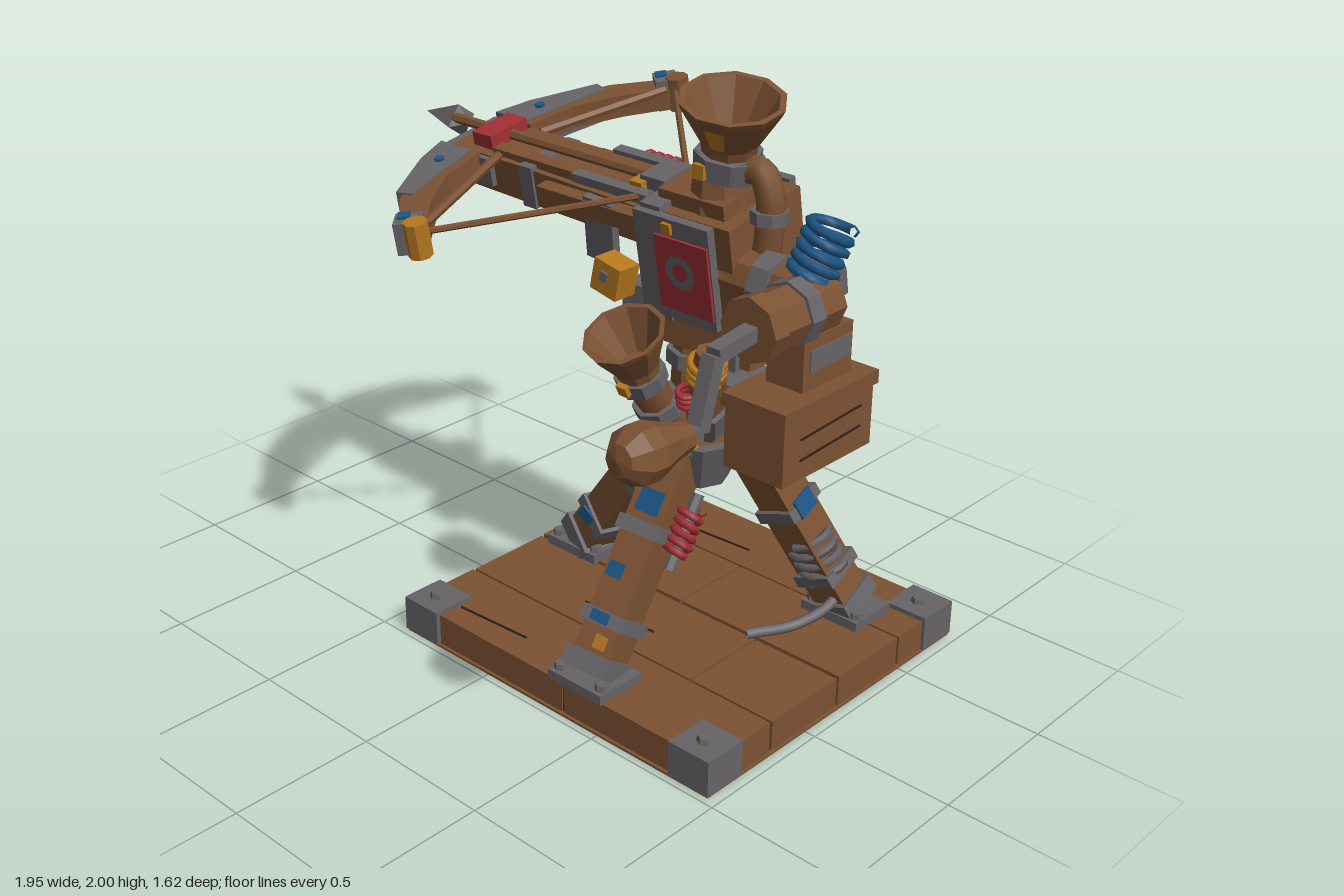
import * as THREE from 'three';

const mat = (name, color) => Object.assign(new THREE.MeshStandardMaterial({ color }), { name });
const wood = mat('wood', 0x7c5233), metal = mat('metal', 0x676467), blue = mat('blue paint', 0x1c5685);
const red = mat('red paint', 0xa33036), brass = mat('brass', 0xb5781f), dark = mat('dark gaps', 0x2e2018);

const V = (x, y, z) => new THREE.Vector3(x, y, z);

// Gives every face its own normal
function flat(geo) {
  const g = geo.index ? geo.toNonIndexed() : geo;
  g.computeVertexNormals();
  return g;
}

function add(parent, name, geo, material, pos = [0, 0, 0], rot = [0, 0, 0], facet = true) {
  const m = new THREE.Mesh(facet ? flat(geo) : geo, material);
  m.name = name;
  m.position.set(...pos);
  m.rotation.set(...rot);
  parent.add(m);
  return m;
}

const box = (p, name, m, size, pos, rot) => add(p, name, new THREE.BoxGeometry(...size), m, pos, rot);
const cyl = (p, name, m, r1, r2, h, pos, rot, n = 8) => add(p, name, new THREE.CylinderGeometry(r1, r2, h, n), m, pos, rot);

// Box or round bar running between two points
function beam(p, name, m, a, b, w, d, round = false) {
  const len = a.distanceTo(b);
  const geo = round ? new THREE.CylinderGeometry(w, d, len, 6) : new THREE.BoxGeometry(w, len, d);
  const mesh = add(p, name, geo, m, a.clone().lerp(b, 0.5).toArray());
  mesh.quaternion.setFromUnitVectors(V(0, 1, 0), b.clone().sub(a).normalize());
  return mesh;
}

// Helical wire between two points
function coil(p, name, m, a, b, r, turns, wire) {
  const len = a.distanceTo(b), pts = [];
  for (let i = 0; i <= turns * 10; i++) {
    const t = i / 10 * Math.PI * 2;
    pts.push(V(Math.cos(t) * r, (i / (turns * 10) - 0.5) * len, Math.sin(t) * r));
  }
  const geo = new THREE.TubeGeometry(new THREE.CatmullRomCurve3(pts), turns * 14, wire, 5);
  const mesh = add(p, name, geo, m, a.clone().lerp(b, 0.5).toArray(), [0, 0, 0], false);
  mesh.quaternion.setFromUnitVectors(V(0, 1, 0), b.clone().sub(a).normalize());
}

const pipe = (p, name, m, pts, r) =>
  add(p, name, new THREE.TubeGeometry(new THREE.CatmullRomCurve3(pts), 20, r, 8), m, [0, 0, 0], [0, 0, 0], false);

const lathe = (pts, n = 10, start = 0, len = Math.PI * 2) =>
  new THREE.LatheGeometry(pts.map(q => new THREE.Vector2(...q)), n, start, len);

// Thick-walled funnel, base at its origin, opening along +y; patches are facet numbers
function funnel(p, name, r, h, pos, rot, patches = []) {
  const g = new THREE.Group();
  g.name = name;
  g.position.set(...pos);
  g.rotation.set(...rot);
  p.add(g);
  add(g, 'funnelCone', lathe([[0, 0], [r * 0.5, 0], [r * 0.55, h * 0.3], [r * 0.95, h * 0.9], [r, h],
    [r * 0.88, h], [r * 0.4, h * 0.3], [0, h * 0.28]]), wood);
  cyl(g, 'funnelBand', metal, r * 0.62, r * 0.6, h * 0.28, [0, 0, 0]);
  for (const k of patches)
    add(g, 'funnelPatch', lathe([[r * 0.63, h * 0.38], [r * 0.775, h * 0.6], [r * 0.905, h * 0.8]], 1, k * Math.PI / 5 + 0.1, 0.43), brass);
}

function buildBase(root) {
  const g = new THREE.Group();
  g.name = 'base';
  root.add(g);
  box(g, 'underside', wood, [1.36, 0.008, 1.27], [0.282, 0.004, -0.16]);
  box(g, 'baseCore', dark, [1.3, 0.09, 1.24], [0.285, 0.055, -0.16]);
  // Planks as z edges
  const edges = [-0.79, -0.5, -0.17, 0.17, 0.47];
  for (let i = 0; i < 4; i++) {
    const z = (edges[i] + edges[i + 1]) / 2, d = edges[i + 1] - edges[i] - 0.012;
    const seam = [0.5, 0.28, 0.62, 0.34][i], x0 = -0.39, x1 = 0.955;
    for (const [a, b] of [[x0, seam - 0.004], [seam + 0.004, x1]])
      box(g, 'plank', wood, [b - a, 0.106 + (i % 2) * 0.006, d], [(a + b) / 2, 0.063, z]);
    box(g, 'plankCrack', dark, [0.3, 0.004, 0.007], [seam - 0.42, 0.121, z + 0.05], [0, 0.06, 0]);
  }
  for (const x of [-0.325, 0.885]) for (const z of [-0.72, 0.4]) {
    box(g, 'cornerCap', metal, [0.16, 0.124, 0.16], [x, 0.07, z]);
    cyl(g, 'cornerBolt', metal, 0.025, 0.03, 0.02, [x, 0.14, z], [0, 0, 0], 6);
  }
}

function buildTripod(root) {
  const g = new THREE.Group();
  g.name = 'tripod';
  root.add(g);
  const legs = [
    [V(0.28, 0.82, -0.17), V(-0.22, 0.15, -0.24)],
    [V(0.37, 0.82, -0.08), V(0.4, 0.15, 0.38)],
    [V(0.47, 0.8, -0.26), V(0.72, 0.15, -0.52)],
  ];
  legs.forEach(([a, b], i) => {
    const at = t => a.clone().lerp(b, t);
    const leg = beam(g, 'leg', wood, a, b, 0.135, 0.13);
    for (const [t, s, h] of [[0.03, 0.155, 0.05], [0.38, 0.165, 0.06], [0.76, 0.165, 0.06]])
      beam(g, 'legBand', metal, at(t), at(t + h), s, s - 0.01);
    box(g, 'footPlate', metal, [0.23, 0.035, 0.19], [b.x, 0.135, b.z]);
    beam(g, 'footSocket', metal, at(0.93), at(1.01), 0.17, 0.16);
    for (const s of [-1, 1]) cyl(g, 'footBolt', metal, 0.022, 0.025, 0.025, [b.x + s * 0.09, 0.16, b.z + 0.06], [0, 0, 0], 6);
    if (i < 2) {
      const off = i ? V(0.11, 0, -0.03) : V(-0.05, 0, -0.08);
      coil(g, 'redSpring', red, at(0.28).add(off), at(0.47).add(off), 0.035, 5, 0.014);
      beam(g, 'springRod', metal, at(0.22).add(off), at(0.54).add(off), 0.02, 0.02, true);
    } else {
      coil(g, 'shinSpring', metal, at(0.59), at(0.82), 0.076, 4, 0.016);
      // Paint on the outer side of the rear leg
      box(leg, 'bluePatch', blue, [0.09, 0.07, 0.009], [0, -0.07, 0.079]);
    }
  });
  // Paint patches lying on the outer faces of the legs
  const [fa, fb] = legs[1], tilt = -Math.atan2(0.46, 0.67), out = V(0, 0.566, 0.824);
  for (const [t, w, h, m, lift, dx] of [[0.3, 0.09, 0.08, blue, 0.068, 0.01], [0.6, 0.06, 0.05, blue, 0.068, -0.02],
    [0.79, 0.07, 0.035, blue, 0.081, 0], [0.88, 0.045, 0.045, brass, 0.07, 0.03]])
    box(g, m === blue ? 'bluePatch' : 'brassBolt', m, [w, h, 0.009],
      fa.clone().lerp(fb, t).addScaledVector(out, lift).add(V(dx, 0, 0)).toArray(), [tilt, 0, 0]);
  box(g, 'cuffPatch', blue, [0.06, 0.05, 0.009], [-0.145, 0.3, -0.147], [0.03, 0, -0.64]);
  pipe(g, 'ankleCable', metal, [V(0.7, 0.3, -0.52), V(0.73, 0.2, -0.44), V(0.7, 0.16, -0.28), V(0.6, 0.14, -0.14)], 0.018);
  // Hub and column
  cyl(g, 'hub', metal, 0.16, 0.1, 0.16, [0.38, 0.74, -0.13]);
  cyl(g, 'hubCollar', wood, 0.13, 0.14, 0.06, [0.36, 0.85, -0.14]);
  cyl(g, 'hubRing', metal, 0.13, 0.13, 0.04, [0.36, 0.9, -0.14]);
  cyl(g, 'column', wood, 0.085, 0.1, 0.36, [0.36, 1.03, -0.15]);
  cyl(g, 'columnBand', metal, 0.11, 0.11, 0.05, [0.36, 1.08, -0.15]);
  for (const [x, y, z, r] of [[0.23, 0.78, -0.06, -0.6], [0.43, 0.85, 0.0, 0.2], [0.25, 0.86, -0.25, 0.8]])
    box(g, 'brassPlate', brass, [0.07, 0.07, 0.025], [x, y, z], [0, r, 0.4]);
}

function buildCrossbow(root) {
  const g = new THREE.Group();
  g.name = 'crossbow';
  g.position.set(0, 1.5, -0.17);
  g.rotation.x = 0.18;
  root.add(g);
  // Body with target plates on both sides
  box(g, 'body', wood, [0.36, 0.38, 0.34], [0.42, -0.06, 0]);
  box(g, 'bodyCap', wood, [0.26, 0.08, 0.26], [0.42, 0.14, 0]);
  box(g, 'bodyStrap', metal, [0.08, 0.4, 0.37], [0.3, -0.05, 0]);
  for (const s of [-1, 1]) {
    const x = 0.42, y = -0.05;
    box(g, 'sidePlate', metal, [0.3, 0.35, 0.03], [x - 0.02, y + 0.01, s * 0.195]);
    box(g, 'targetPlate', red, [0.21, 0.25, 0.009], [x + 0.02, y, s * 0.214]);
    add(g, 'targetRing', new THREE.RingGeometry(0.03, 0.058, 16), metal, [x + 0.01, y + 0.015, s * 0.221], [0, s < 0 ? Math.PI : 0, 0]);
    box(g, 'plateBolt', brass, [0.035, 0.035, 0.02], [x - 0.03, y + 0.155, s * 0.212]);
    box(g, 'stockBracket', metal, [0.12, 0.22, 0.03], [0.03, -0.03, s * 0.14], [0, 0, -0.08]);
    box(g, 'rail', wood, [0.75, 0.05, 0.05], [-0.12, 0.09, s * 0.065]);
    box(g, 'railTop', metal, [0.32, 0.03, 0.04], [0.06, 0.115, s * 0.1]);
    box(g, 'sideBeam', wood, [0.5, 0.06, 0.05], [0.02, 0.04, s * 0.135]);
  }
  box(g, 'rearStrap', metal, [0.7, 0.09, 0.04], [0.37, -0.19, -0.2]);
  box(g, 'strapPaint', blue, [0.07, 0.05, 0.008], [0.14, -0.19, -0.222]);
  box(g, 'stock', wood, [0.95, 0.13, 0.22], [-0.2, 0.02, 0], [0, 0, -0.03]);
  box(g, 'stockHead', metal, [0.24, 0.1, 0.26], [-0.6, 0.04, 0]);
  box(g, 'stockBand', metal, [0.06, 0.15, 0.24], [-0.32, 0.025, 0]);
  box(g, 'headBand', red, [0.09, 0.07, 0.17], [-0.56, 0.11, -0.01]);
  box(g, 'headPaint', red, [0.14, 0.08, 0.04], [-0.675, 0.03, 0.115]);
  box(g, 'stringCatch', metal, [0.1, 0.08, 0.12], [0.2, 0.12, 0]);
  box(g, 'railBolt', brass, [0.05, 0.03, 0.05], [0.15, 0.13, 0.06]);
  coil(g, 'railSpring', red, V(-0.07, 0.05, -0.19), V(0.08, 0.05, -0.19), 0.03, 4, 0.011);
  // Bolt
  cyl(g, 'boltShaft', wood, 0.018, 0.018, 0.95, [-0.33, 0.115, -0.02], [0, 0, Math.PI / 2], 6);
  cyl(g, 'boltTip', metal, 0, 0.062, 0.18, [-0.89, 0.092, -0.045], [0, 0, Math.PI / 2], 4);
  cyl(g, 'boltBase', metal, 0.062, 0.02, 0.03, [-0.785, 0.092, -0.045], [0, 0, Math.PI / 2], 4);
  // Curved limbs: wooden core, metal outer cover
  const limb = (name, m, pts, s, y, h) => {
    const geo = new THREE.ExtrudeGeometry(new THREE.Shape(pts.map(([x, z]) => new THREE.Vector2(x, s * z))), { depth: h, bevelEnabled: false });
    add(g, name, geo.rotateX(Math.PI / 2), m, [0, y, 0]);
  };
  for (const s of [-1, 1]) {
    limb('limb', wood, [[-0.66, 0.12], [-0.63, 0.27], [-0.51, 0.5], [-0.34, 0.65], [-0.29, 0.59], [-0.41, 0.45], [-0.5, 0.3], [-0.53, 0.12]], s, 0.105, 0.08);
    limb('limbCover', metal, [[-0.71, 0.13], [-0.67, 0.26], [-0.55, 0.48], [-0.49, 0.46], [-0.53, 0.3], [-0.56, 0.13]], s, 0.11, 0.115);
    box(g, 'limbTip', metal, [0.09, 0.11, 0.08], [-0.34, 0.075, s * 0.61], [0, s * 0.7, 0]);
    cyl(g, 'limbKnob', s > 0 ? brass : wood, 0.04, 0.04, 0.12, [-0.295, 0.075, s * 0.62]);
    box(g, 'limbPaint', blue, [0.04, 0.008, 0.04], [-0.36, 0.134, s * 0.61], [0, s * 0.7, 0]);
    cyl(g, 'limbBolt', blue, 0.018, 0.018, 0.13, [-0.6, 0.055, s * 0.24], [0, 0, 0], 6);
    beam(g, 'string', wood, V(-0.3, 0.09, s * 0.61), V(0.22, 0.12, s * 0.08), 0.011, 0.011, true);
    beam(g, 'limbBrace', wood, V(-0.46, 0.1, s * 0.1), V(-0.31, 0.1, s * 0.57), 0.016, 0.016, true);
  }
}

function buildGear(root) {
  const g = new THREE.Group();
  g.name = 'gear';
  root.add(g);
  // Mount under the body
  box(g, 'mountBox', metal, [0.16, 0.14, 0.26], [0.19, 1.22, -0.18]);
  box(g, 'mountBlock', wood, [0.4, 0.14, 0.32], [0.45, 1.21, -0.2]);
  box(g, 'mountStrap', metal, [0.06, 0.16, 0.36], [0.58, 1.21, -0.2]);
  box(g, 'brassBox', brass, [0.11, 0.11, 0.09], [0.15, 1.34, 0.03], [0, 0, -0.2]);
  box(g, 'brassBoxBolt', metal, [0.03, 0.03, 0.01], [0.15, 1.35, 0.08], [0, 0, -0.2]);
  // Top funnel, neck and bent pipe
  cyl(g, 'neck', wood, 0.085, 0.1, 0.16, [0.46, 1.68, -0.11]);
  cyl(g, 'neckBand', metal, 0.11, 0.1, 0.07, [0.48, 1.75, -0.11], [0, 0, -0.15]);
  box(g, 'neckBolt', brass, [0.045, 0.045, 0.02], [0.46, 1.745, -0.005]);
  funnel(g, 'topFunnel', 0.165, 0.2, [0.48, 1.77, -0.115], [0.17, 0, -0.18], [0, 5, 6]);
  pipe(g, 'bentPipe', wood, [V(0.52, 1.73, -0.12), V(0.6, 1.75, -0.12), V(0.64, 1.68, -0.12), V(0.63, 1.45, -0.12)], 0.045);
  cyl(g, 'pipeBand', metal, 0.06, 0.06, 0.04, [0.64, 1.62, -0.12]);
  // Front funnel and feed pipe
  funnel(g, 'frontFunnel', 0.135, 0.19, [0.36, 1.09, 0.13], [0.45, 0, 0]);
  pipe(g, 'feedPipe', wood, [V(0.36, 1.1, 0.12), V(0.36, 1.0, 0.07), V(0.36, 0.92, 0), V(0.36, 0.86, -0.1)], 0.062);
  cyl(g, 'feedBand', metal, 0.08, 0.08, 0.05, [0.36, 0.97, 0.05], [0.5, 0, 0]);
  box(g, 'feedBolt', brass, [0.04, 0.04, 0.02], [0.36, 1.07, 0.21], [0.45, 0, 0]);
  // Flask with wire-wrapped cap
  beam(g, 'flask', wood, V(0.54, 0.92, 0.02), V(0.6, 1.15, 0.1), 0.06, 0.045, true);
  beam(g, 'flaskBand', metal, V(0.55, 0.95, 0.03), V(0.57, 1.03, 0.06), 0.07, 0.065, true);
  cyl(g, 'flaskCap', wood, 0.04, 0.055, 0.11, [0.61, 1.2, 0.11], [0.2, 0, -0.2]);
  coil(g, 'flaskWire', brass, V(0.595, 1.15, 0.1), V(0.612, 1.22, 0.115), 0.052, 3, 0.014);
  coil(g, 'flaskSpring', red, V(0.52, 1.04, 0.1), V(0.53, 1.1, 0.12), 0.024, 3, 0.01);
  // Ammunition box
  box(g, 'ammoBox', wood, [0.23, 0.22, 0.44], [0.755, 0.965, -0.16]);
  box(g, 'ammoLid', wood, [0.25, 0.045, 0.465], [0.755, 1.085, -0.16]);
  box(g, 'ammoBracket', metal, [0.22, 0.06, 0.2], [0.56, 1.02, -0.17]);
  for (const y of [0.93, 1.0]) box(g, 'boxCrack', dark, [0.004, 0.006, 0.3], [0.872, y, -0.17], [0.05, 0, 0]);
  // Winch axle, housing and blue spring
  cyl(g, 'axle', wood, 0.085, 0.085, 0.3, [0.68, 1.43, -0.08], [0, 0, Math.PI / 2]);
  cyl(g, 'axleBand', metal, 0.1, 0.1, 0.07, [0.7, 1.43, -0.08], [0, 0, Math.PI / 2]);
  box(g, 'lowerBlock', wood, [0.14, 0.17, 0.24], [0.76, 1.2, -0.19]);
  box(g, 'lowerStrap', metal, [0.05, 0.07, 0.2], [0.81, 1.21, -0.2]);
  cyl(g, 'winchDrum', wood, 0.092, 0.092, 0.34, [0.87, 1.43, 0.08], [Math.PI / 2, 0, 0]);
  cyl(g, 'winchBand', metal, 0.102, 0.102, 0.06, [0.87, 1.43, 0.05], [Math.PI / 2, 0, 0]);
  cyl(g, 'winchCap', wood, 0.102, 0.102, 0.06, [0.87, 1.43, 0.22], [Math.PI / 2, 0, 0]);
  cyl(g, 'springPost', metal, 0.045, 0.06, 0.08, [0.85, 1.52, -0.06]);
  coil(g, 'blueSpring', blue, V(0.845, 1.5, -0.06), V(0.875, 1.66, -0.12), 0.067, 5, 0.016);
  // Crank arm and handle
  const k = [V(0.88, 1.43, 0.24), V(0.88, 1.41, 0.41), V(0.88, 1.2, 0.47), V(0.88, 1.2, 0.56)];
  for (let i = 0; i < 3; i++) beam(g, 'crankArm', metal, k[i], k[i + 1], 0.05, 0.045);
  add(g, 'crankHandle', lathe([[0, 0], [0.045, 0], [0.055, 0.06], [0.088, 0.16], [0.088, 0.22], [0.05, 0.27], [0, 0.28]], 9),
    wood, [0.88, 1.2, 0.52], [Math.PI / 2 - 0.08, 0, 0]);
}

export function createModel() {
  const root = new THREE.Group();
  root.name = 'crossbowTurret';
  buildBase(root);
  buildTripod(root);
  buildCrossbow(root);
  buildGear(root);
  return root;
}
